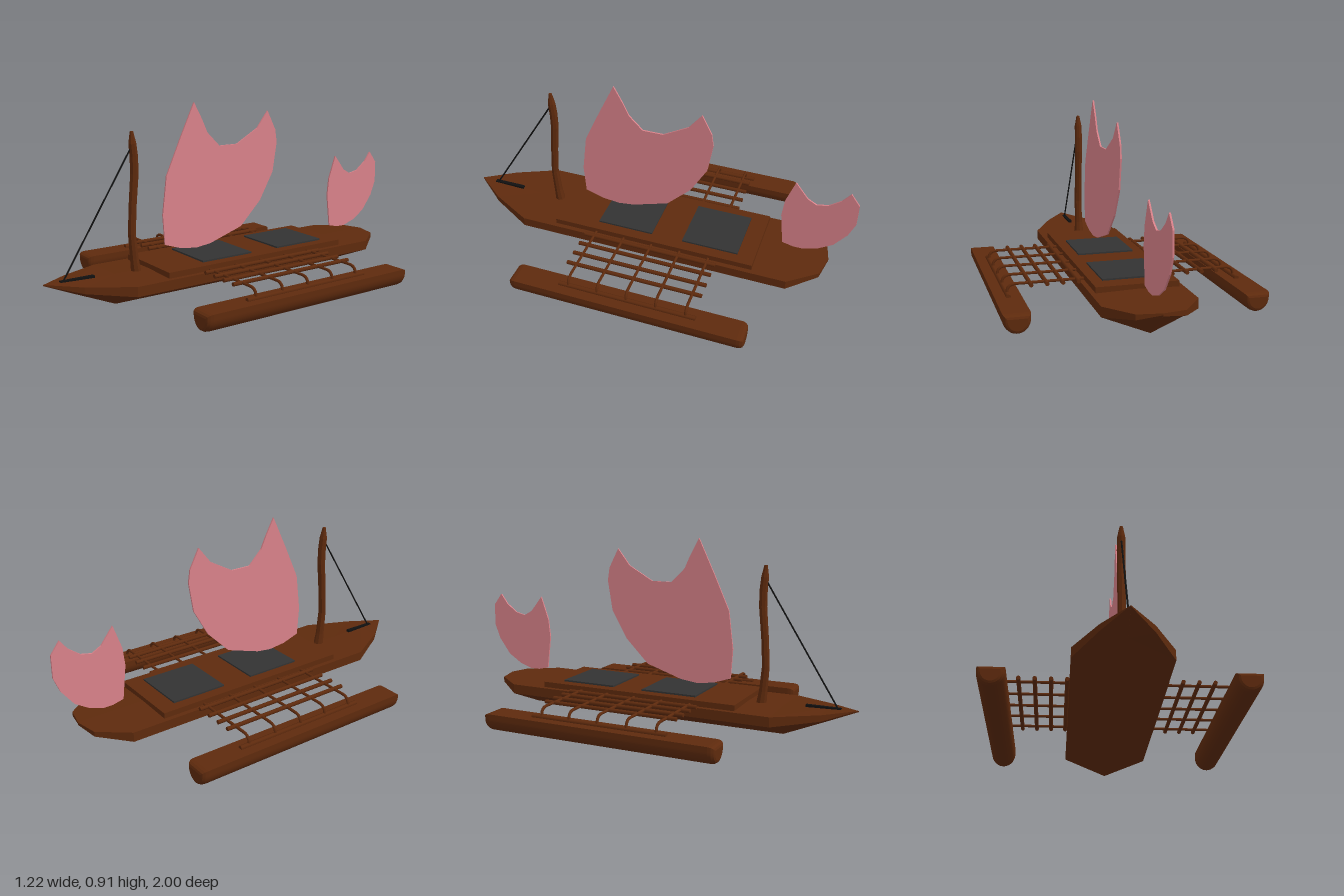
import * as THREE from 'three';

const wood = new THREE.MeshStandardMaterial({ color: 0x5e2a0d });
const woodFlat = new THREE.MeshStandardMaterial({ color: 0x5e2a0d, flatShading: true });
const sailCloth = new THREE.MeshStandardMaterial({ color: 0xd9828a });
const dark = new THREE.MeshStandardMaterial({ color: 0x333333 });
const black = new THREE.MeshStandardMaterial({ color: 0x111111 });

function add(parent, name, geometry, material, x = 0, y = 0, z = 0) {
  const mesh = new THREE.Mesh(geometry, material);
  mesh.name = name;
  mesh.position.set(x, y, z);
  parent.add(mesh);
  return mesh;
}

// Straight round rod between two points
function rod(parent, name, a, b, radius, material) {
  const curve = new THREE.LineCurve3(new THREE.Vector3(...a), new THREE.Vector3(...b));
  const length = curve.getLength();
  const mesh = add(parent, name, new THREE.CylinderGeometry(radius, radius, length, 8), material);
  mesh.position.copy(curve.getPoint(0.5));
  mesh.quaternion.setFromUnitVectors(new THREE.Vector3(0, 1, 0), curve.getTangent(0));
  return mesh;
}

// V-bottomed hull lofted from bow to stern
function hullGeometry() {
  // z, half width, deck centre, deck edge, chine, keel
  const stations = [
    [1, 0, 0.155, 0.155, 0.155, 0.15],
    [0.855, 0.11, 0.15, 0.145, 0.115, 0.087],
    [0.65, 0.216, 0.143, 0.137, 0.09, 0],
    [-0.735, 0.216, 0.143, 0.137, 0.09, 0],
    [-0.875, 0.11, 0.143, 0.14, 0.115, 0.112],
    [-0.9, 0, 0.143, 0.143, 0.135, 0.13],
  ];
  const points = [];
  for (const [z, w, top, edge, chine, keel] of stations) {
    points.push(0, top, z, w, edge, z, w, chine, z, 0, keel, z, -w, chine, z, -w, edge, z);
  }
  const index = [];
  for (let i = 0; i < stations.length - 1; i++) {
    for (let j = 0; j < 6; j++) {
      const a = i * 6 + j, b = i * 6 + ((j + 1) % 6);
      index.push(a, b, a + 6, b, b + 6, a + 6);
    }
  }
  const indexed = new THREE.BufferGeometry();
  indexed.setAttribute('position', new THREE.Float32BufferAttribute(points, 3));
  indexed.setIndex(index);
  const geometry = indexed.toNonIndexed();
  geometry.computeVertexNormals();
  return geometry;
}

// Slightly crooked, tapering mast
function mastGeometry() {
  // y, z, radius
  const rings = [
    [0.13, 0.537, 0.026], [0.2, 0.546, 0.021], [0.32, 0.556, 0.019], [0.45, 0.549, 0.019],
    [0.6, 0.536, 0.02], [0.68, 0.537, 0.02], [0.74, 0.543, 0.019], [0.795, 0.546, 0.008],
  ];
  const geometry = new THREE.CylinderGeometry(1, 1, rings.length - 1, 8, rings.length - 1);
  const p = geometry.attributes.position;
  for (let i = 0; i < p.count; i++) {
    const [y, z, r] = rings[Math.round(p.getY(i) + (rings.length - 1) / 2)];
    p.setXYZ(i, p.getX(i) * r, y, z + p.getZ(i) * r);
  }
  geometry.computeVertexNormals();
  return geometry;
}

// Thin sail in the centre plane, outline given as [z, y]
function sailGeometry(outline) {
  const shape = new THREE.Shape(outline.map(([z, y]) => new THREE.Vector2(z, y)));
  const depth = 0.008;
  return new THREE.ExtrudeGeometry(shape, { depth, bevelEnabled: false })
    .rotateY(-Math.PI / 2).translate(depth / 2, 0, 0);
}

// Float with a flat top, round belly and softened ends
function floatGeometry() {
  const bevel = 0.018, half = 0.061 - bevel;
  const shape = new THREE.Shape();
  shape.moveTo(half, 0.095 - bevel);
  shape.lineTo(-half, 0.095 - bevel);
  shape.lineTo(-half, 0.07);
  shape.absellipse(0, 0.07, half, 0.064 - bevel, Math.PI, Math.PI * 2, false);
  shape.closePath();
  return new THREE.ExtrudeGeometry(shape, {
    depth: 1.175 - 0.06, bevelSize: bevel, bevelThickness: 0.03, bevelSegments: 3, curveSegments: 16,
  }).translate(0, 0, -0.6);
}

// Crossbar that bends down onto the float
function crossbarGeometry(side) {
  const v = (x, y) => new THREE.Vector3(side * x, y, 0);
  const path = new THREE.CurvePath();
  path.add(new THREE.LineCurve3(v(0.18, 0.143), v(0.505, 0.143)));
  path.add(new THREE.QuadraticBezierCurve3(v(0.505, 0.143), v(0.548, 0.143), v(0.548, 0.105)));
  path.add(new THREE.LineCurve3(v(0.548, 0.105), v(0.548, 0.085)));
  return new THREE.TubeGeometry(path, 40, 0.007, 8);
}

export function createModel() {
  const model = new THREE.Group();
  model.name = 'outriggerBoat';

  // Hull, cabin roof and hatches
  add(model, 'hull', hullGeometry(), woodFlat);
  add(model, 'cabin', new THREE.BoxGeometry(0.386, 0.04, 1.035), wood, 0, 0.145, -0.043);
  for (const z of [0.113, -0.332]) {
    add(model, 'hatch', new THREE.BoxGeometry(0.28, 0.02, 0.285), dark, 0, 0.163, z);
  }

  // Mast, forestay and bow fitting
  add(model, 'mast', mastGeometry(), woodFlat);
  rod(model, 'forestay', [0, 0.715, 0.555], [0, 0.15, 0.908], 0.004, black);
  add(model, 'bowFitting', new THREE.BoxGeometry(0.018, 0.012, 0.165), black, 0, 0.152, 0.838);

  // Sails
  add(model, 'mainSail', sailGeometry([
    [0.21, 0.908], [0.29, 0.74], [0.367, 0.57], [0.39, 0.385], [0.38, 0.24], [0.29, 0.21],
    [0.2, 0.2], [0.12, 0.21], [-0.065, 0.27], [-0.185, 0.39], [-0.265, 0.53], [-0.29, 0.68],
    [-0.28, 0.745], [-0.23, 0.842], [-0.165, 0.76], [-0.04, 0.69], [0.065, 0.69],
    [0.135, 0.76], [0.165, 0.825],
  ]), sailCloth);
  add(model, 'aftSail', sailGeometry([
    [-0.697, 0.57], [-0.655, 0.45], [-0.645, 0.36], [-0.665, 0.19], [-0.72, 0.177],
    [-0.77, 0.177], [-0.84, 0.2], [-0.91, 0.245], [-0.97, 0.325], [-1, 0.4], [-1, 0.51],
    [-0.955, 0.57], [-0.917, 0.52], [-0.86, 0.477], [-0.805, 0.465], [-0.76, 0.49],
  ]), sailCloth);

  // Outriggers on both sides
  for (const side of [1, -1]) {
    const outrigger = new THREE.Group();
    outrigger.name = side > 0 ? 'leftOutrigger' : 'rightOutrigger';
    model.add(outrigger);
    add(outrigger, 'float', floatGeometry(), wood, side * 0.548, 0, 0);
    for (let i = 0; i < 5; i++) {
      add(outrigger, 'crossbar', crossbarGeometry(side), wood, 0, 0, -0.341 + i * 0.148);
    }
    for (const x of [0.225, 0.298, 0.371, 0.444]) {
      rod(outrigger, 'lengthwiseRod', [side * x, 0.143, -0.387], [side * x, 0.143, 0.3], 0.01, wood);
    }
    rod(outrigger, 'floatRail', [side * 0.548, 0.098, -0.39], [side * 0.548, 0.098, 0.3], 0.012, wood);
  }
  return model;
}
